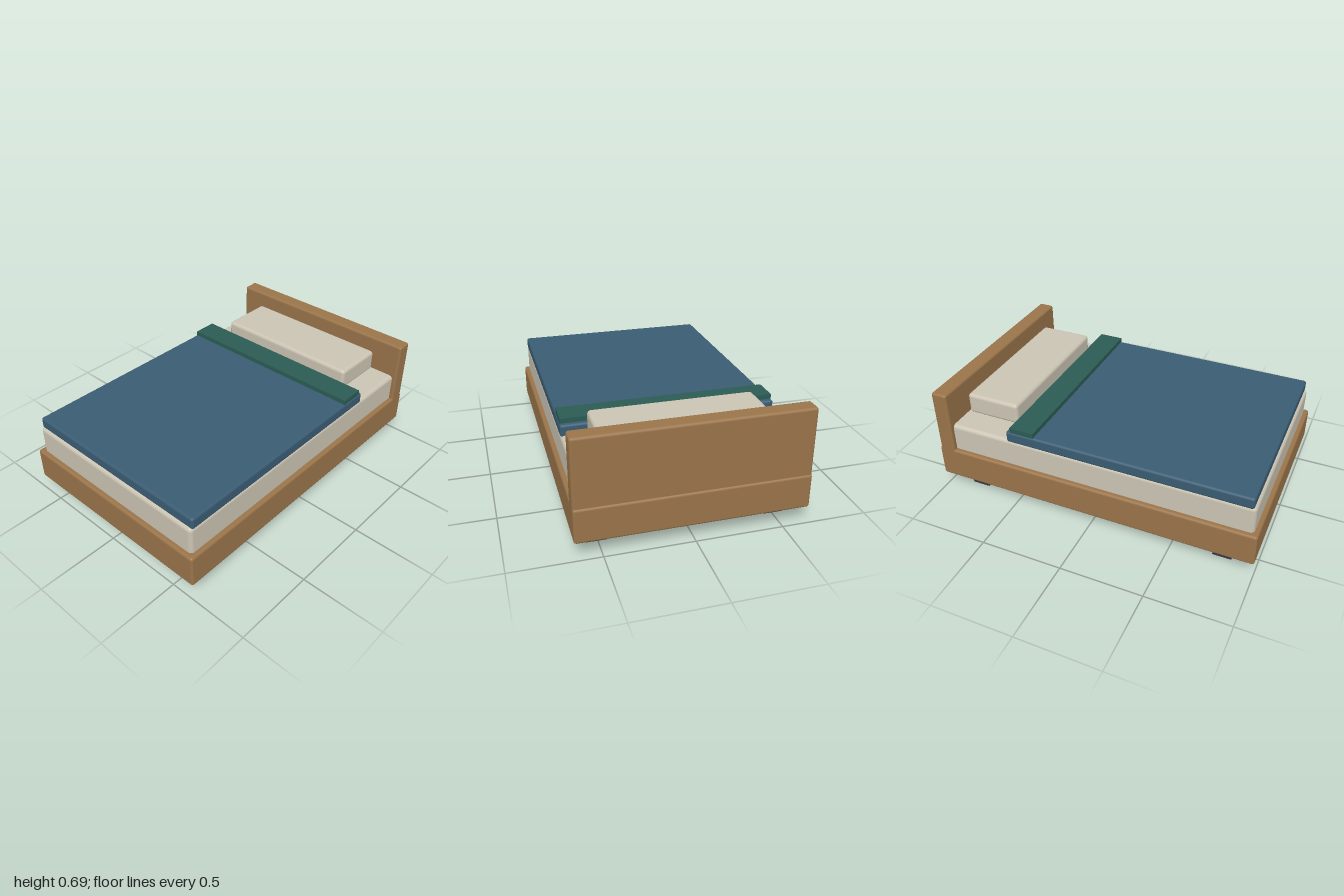
import * as THREE from 'three';
import { RoundedBoxGeometry } from 'three/addons/geometries/RoundedBoxGeometry.js';

const material = (name, color) => {
  const m = new THREE.MeshStandardMaterial({ color });
  m.name = name;
  return m;
};

export function createModel() {
  const bed = new THREE.Group();
  bed.name = 'bed';

  const wood = material('wood', 0x9a744a);
  const linen = material('linen', 0xcbc4b3);
  const blue = material('blue fabric', 0x3a5c73);
  const green = material('green fabric', 0x2b5b53);
  const dark = material('dark feet', 0x363644);

  // Box given by its extents on each axis; r rounds the edges
  const box = (name, mat, [x0, x1], [y0, y1], [z0, z1], r = 0) => {
    const size = [x1 - x0, y1 - y0, z1 - z0];
    const geometry = r ? new RoundedBoxGeometry(...size, 3, r) : new THREE.BoxGeometry(...size);
    const mesh = new THREE.Mesh(geometry, mat);
    mesh.name = name;
    mesh.position.set((x0 + x1) / 2, (y0 + y1) / 2, (z0 + z1) / 2);
    bed.add(mesh);
  };

  // Wooden base and headboard
  box('frame', wood, [-0.65, 0.65], [0.1, 0.303], [-1, 1], 0.015);
  box('headboard', wood, [-0.65, 0.65], [0.15, 0.695], [-0.992, -0.892], 0.015);

  // Bedding
  box('mattress', linen, [-0.622, 0.622], [0.27, 0.473], [-0.93, 0.972], 0.025);
  box('pillow', linen, [-0.477, 0.477], [0.485, 0.618], [-0.868, -0.527], 0.022);
  box('blanket', blue, [-0.623, 0.623], [0.462, 0.535], [-0.522, 0.957], 0.015);
  box('blanketFold', green, [-0.618, 0.618], [0.525, 0.563], [-0.495, -0.343]);

  // Four square feet
  for (const [sideName, sx] of [['left', 1], ['right', -1]]) {
    for (const [endName, sz] of [['Front', 1], ['Back', -1]]) {
      const cx = 0.505 * sx, cz = 0.8 * sz, h = 0.056;
      box(`${sideName}${endName}Foot`, dark, [cx - h, cx + h], [0, 0.105], [cz - h, cz + h]);
    }
  }

  return bed;
}
